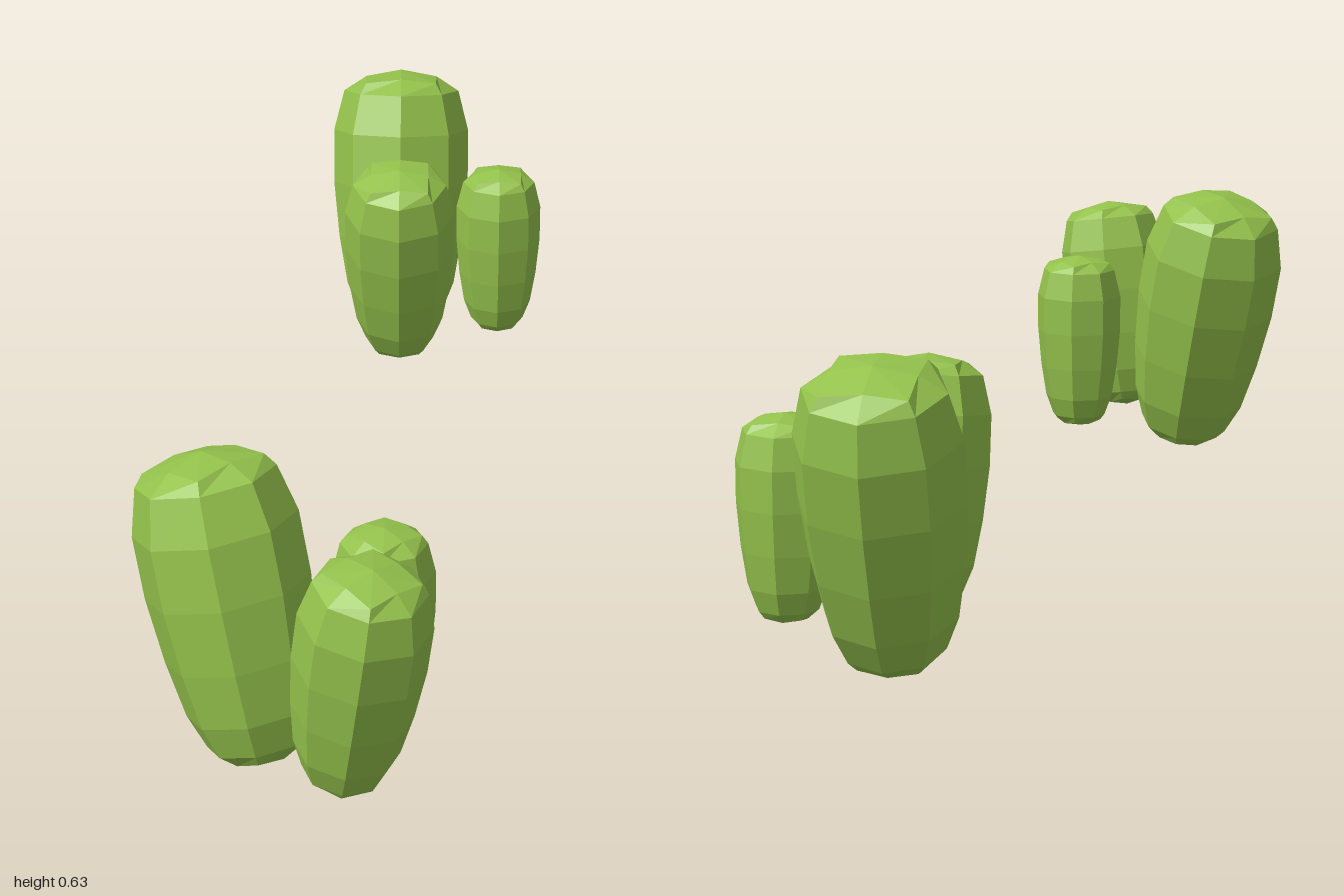
import * as THREE from 'three';

const green = new THREE.MeshStandardMaterial({ color: 0x94c24c, flatShading: true });
green.name = 'cactusGreen';

// Pod cross-sections from bottom to top:
// [height, radius on the axes, radius on the diagonals, height on the diagonals]
const RINGS = [
  [0.0, 0, 0, 0.0],
  [0.02, 0.4, 0.52, 0.035],
  [0.07, 0.63, 0.63, 0.07],
  [0.18, 0.8, 0.8, 0.18],
  [0.36, 0.92, 0.92, 0.36],
  [0.57, 1, 1, 0.57],
  [0.77, 1, 1, 0.77],
  [0.92, 0.85, 0.85, 0.92],
  [0.975, 0.52, 0.73, 0.96],
  [1.0, 0, 0, 1.0],
];
const SIDES = 8;

// Eight-sided rounded pod standing on its own origin
function podGeometry(radius, length) {
  const positions = [];
  const index = [];
  for (const [y, axisR, diagR, diagY] of RINGS) {
    for (let k = 0; k < SIDES; k++) {
      const a = (k / SIDES) * Math.PI * 2;
      const diagonal = k % 2 === 1;
      const r = radius * (diagonal ? diagR : axisR);
      positions.push(Math.sin(a) * r, length * (diagonal ? diagY : y), Math.cos(a) * r);
    }
  }
  const last = RINGS.length - 2;
  for (let i = 0; i <= last; i++) {
    for (let k = 0; k < SIDES; k++) {
      const a = i * SIDES + k;
      const b = i * SIDES + ((k + 1) % SIDES);
      const c = b + SIDES;
      const d = a + SIDES;
      if (i > 0) index.push(a, b, c);
      if (i < last) index.push(a, c, d);
      if (i === 0) index.push(); // bottom fan needs only the second triangle
    }
  }
  const g = new THREE.BufferGeometry();
  g.setAttribute('position', new THREE.Float32BufferAttribute(positions, 3));
  g.setIndex(index);
  g.computeVertexNormals();
  return g;
}

function pod(name, radius, length, position, lean) {
  const mesh = new THREE.Mesh(podGeometry(radius, length), green);
  mesh.name = name;
  mesh.position.set(...position);
  mesh.rotation.z = THREE.MathUtils.degToRad(lean);
  return mesh;
}

// Three pods: two leaning apart and a small upright one behind
function cluster(name) {
  const g = new THREE.Group();
  g.name = name;
  g.add(
    pod('largePod', 0.163, 0.637, [0.535, 0.008, 0.835], 15),
    pod('mediumPod', 0.128, 0.505, [0.755, 0.055, 0.835], -10),
    pod('smallPod', 0.1, 0.415, [0.63, 0.055, 0.6], 0),
  );
  return g;
}

export function createModel() {
  const model = new THREE.Group();
  model.name = 'cactusClusters';

  const front = cluster('frontCluster');

  // The second cluster is the same, turned an eighth and set at the back
  const back = cluster('backCluster');
  back.rotation.y = -Math.PI / 4;
  back.position.set(-0.489, 0, -1.72);

  model.add(front, back);
  return model;
}
